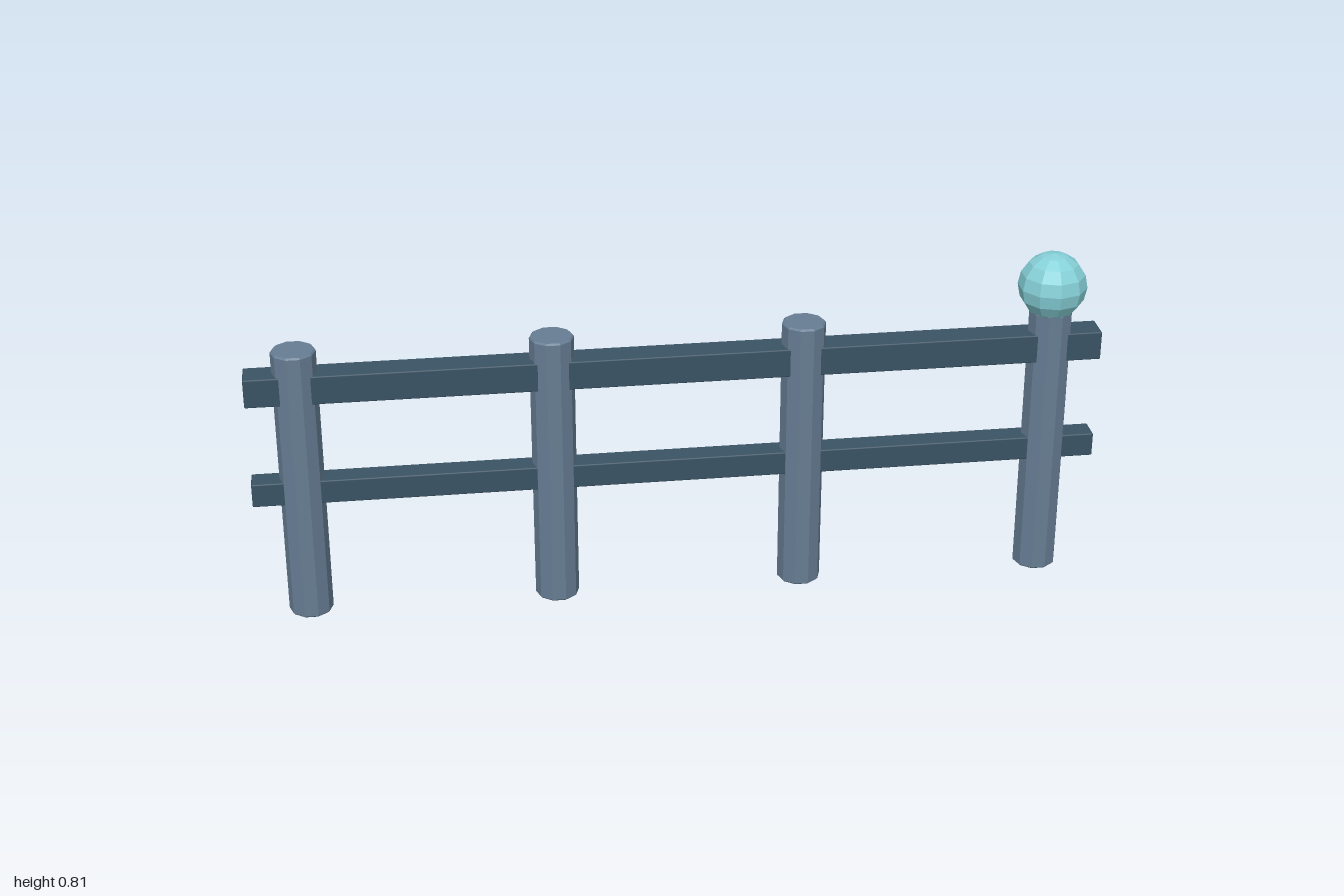
import * as THREE from 'three';
import { RoundedBoxGeometry } from 'three/addons/geometries/RoundedBoxGeometry.js';

export function createModel() {
  const model = new THREE.Group();
  model.name = 'fence';

  const material = (name, color, flatShading = false) => {
    const m = new THREE.MeshStandardMaterial({ color, flatShading });
    m.name = name;
    return m;
  };
  const postPaint = material('slate post', 0x667d93, true);
  const railPaint = material('dark rail', 0x3a5364);
  const orbPaint = material('pale teal', 0x86d0d8, true);

  const add = (name, geometry, mat, x, y) => {
    const mesh = new THREE.Mesh(geometry, mat);
    mesh.name = name;
    mesh.position.set(x, y, 0);
    model.add(mesh);
    return mesh;
  };

  // Ten-sided posts with slightly bevelled ends
  const height = 0.677, radius = 0.052, bevel = 0.004;
  const profile = [
    [0, 0], [radius - bevel, 0], [radius, bevel],
    [radius, height - bevel], [radius - bevel, height], [0, height],
  ].map(([r, y]) => new THREE.Vector2(r, y));
  const postShape = new THREE.LatheGeometry(profile, 10, Math.PI / 2);
  const postXs = [-0.883, -0.295, 0.293, 0.881];
  postXs.forEach((x, i) => add(`post${i + 1}`, postShape, postPaint, x, 0));

  // Two square rails running through all the posts
  add('upperRail', new RoundedBoxGeometry(2, 0.07, 0.07, 1, 0.003), railPaint, 0, 0.587);
  add('lowerRail', new RoundedBoxGeometry(2, 0.058, 0.058, 1, 0.003), railPaint, 0, 0.323);

  // Faceted ball resting on the left end post
  const ball = add('ballFinial', new THREE.SphereGeometry(0.081, 10, 8), orbPaint, postXs[3], 0.734);
  ball.rotation.y = Math.PI / 10;

  return model;
}
